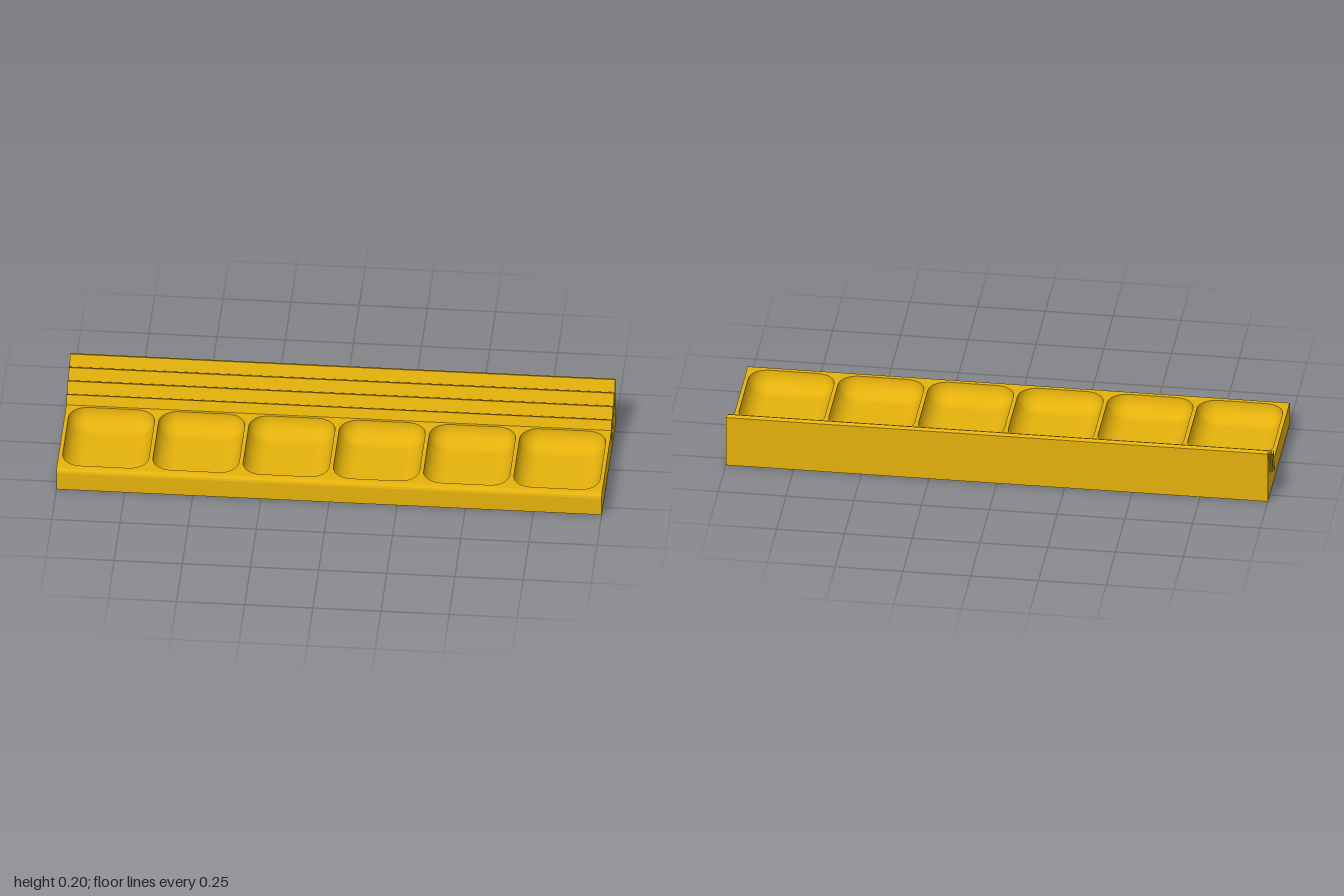
import * as THREE from 'three';
import { toCreasedNormals } from 'three/addons/utils/BufferGeometryUtils.js';

const DECK = 0.088, DECK_BACK = -0.125, DECK_FRONT = 0.282;
const R = 0.07, HALF_W = 0.158, HALF_L = 0.1925; // bowl radius and half sizes
const BOWL_Z = 0.0775, PITCH = 0.331, COUNT = 6;
const CORNER = 8, RINGS = 10;

// Rounded-rectangle outline: position and outward direction of each point
function outline(radius) {
  const points = [];
  for (let c = 0; c < 4; c++) {
    const sx = c === 0 || c === 3 ? 1 : -1, sz = c < 2 ? 1 : -1;
    for (let i = 0; i <= CORNER; i++) {
      const a = (c + i / CORNER) * Math.PI / 2;
      const dx = Math.cos(a), dz = Math.sin(a);
      points.push({ x: sx * (HALF_W - R) + radius * dx, z: sz * (HALF_L - R) + radius * dz, dx, dz });
    }
  }
  return points;
}

// Scooped bowl: rings that curve inward down to a flat floor
function bowlGeometry() {
  const pos = [], nor = [], idx = [], n = 4 * (CORNER + 1);
  for (let r = 0; r <= RINGS; r++) {
    const a = r / RINGS * Math.PI / 2, c = Math.cos(a), s = Math.sin(a);
    for (const p of outline(R * c)) {
      pos.push(p.x, -R * s, p.z);
      nor.push(-p.dx * c, s, -p.dz * c);
    }
  }
  pos.push(0, -R, 0);
  nor.push(0, 1, 0);
  for (let j = 0; j < n; j++) {
    const k = (j + 1) % n;
    for (let r = 0; r < RINGS; r++) {
      const a = r * n + j, b = r * n + k;
      idx.push(a, a + n, b, b, a + n, b + n);
    }
    idx.push(RINGS * n + j, (RINGS + 1) * n, RINGS * n + k);
  }
  const g = new THREE.BufferGeometry();
  g.setAttribute('position', new THREE.Float32BufferAttribute(pos, 3));
  g.setAttribute('normal', new THREE.Float32BufferAttribute(nor, 3));
  g.setIndex(idx);
  return g;
}

// Side profile swept along x, with the deck strip left open for the bowls
function bodyGeometry() {
  const s = new THREE.Shape();
  s.moveTo(-0.3, 0);
  s.lineTo(0.3, 0);
  s.lineTo(0.3, 0.07);
  s.absarc(DECK_FRONT, 0.07, 0.018, 0, Math.PI / 2, false);
  s.lineTo(DECK_BACK, DECK);
  s.lineTo(-0.139, 0.124);
  // three slanted slots, each followed by a higher lip
  for (let i = 0; i < 3; i++) {
    const z = -0.049 * i, y = 0.027 * i;
    s.lineTo(-0.153 + z, 0.118 + y);
    s.lineTo(-0.1205 + z, 0.037 + y);
    s.lineTo(-0.137 + z, 0.031 + y);
    s.lineTo(-0.187 + z, 0.151 + y);
  }
  s.lineTo(-0.3, 0.199);
  s.closePath();
  let g = new THREE.ExtrudeGeometry(s, { depth: 2, bevelEnabled: false, curveSegments: 8 });
  g.rotateY(-Math.PI / 2).translate(1, 0, 0);
  g = toCreasedNormals(g, 0.5);
  // drop the solid deck faces
  const p = g.attributes.position, keep = [];
  const onDeck = i => Math.abs(p.getY(i) - DECK) < 1e-4
    && p.getZ(i) > DECK_BACK - 1e-4 && p.getZ(i) < DECK_FRONT + 1e-4;
  for (let i = 0; i < p.count; i += 3) {
    const flat = [i, i + 1, i + 2].every(onDeck);
    if (!flat || Math.abs(g.attributes.normal.getX(i)) > 0.5) keep.push(i, i + 1, i + 2);
  }
  g.setIndex(keep);
  return g;
}

export function createModel() {
  const model = new THREE.Group();
  model.name = 'sortingTray';
  const material = new THREE.MeshStandardMaterial({ color: 0xe5b20c });
  const add = (name, geometry) => {
    const mesh = new THREE.Mesh(geometry, material);
    mesh.name = name;
    model.add(mesh);
    return mesh;
  };

  add('slottedBody', bodyGeometry());

  // Deck pierced by the bowl openings
  const deck = new THREE.Shape([[-1, -DECK_FRONT], [1, -DECK_FRONT], [1, -DECK_BACK], [-1, -DECK_BACK]]
    .map(([x, y]) => new THREE.Vector2(x, y)));
  const bowl = bowlGeometry();
  for (let i = 0; i < COUNT; i++) {
    const x = (i - (COUNT - 1) / 2) * PITCH;
    deck.holes.push(new THREE.Path(outline(R).map(p => new THREE.Vector2(x + p.x, -(BOWL_Z + p.z)))));
    add('bowl' + (i + 1), bowl).position.set(x, DECK, BOWL_Z);
  }
  add('deck', new THREE.ShapeGeometry(deck).rotateX(-Math.PI / 2).translate(0, DECK, 0));

  return model;
}
